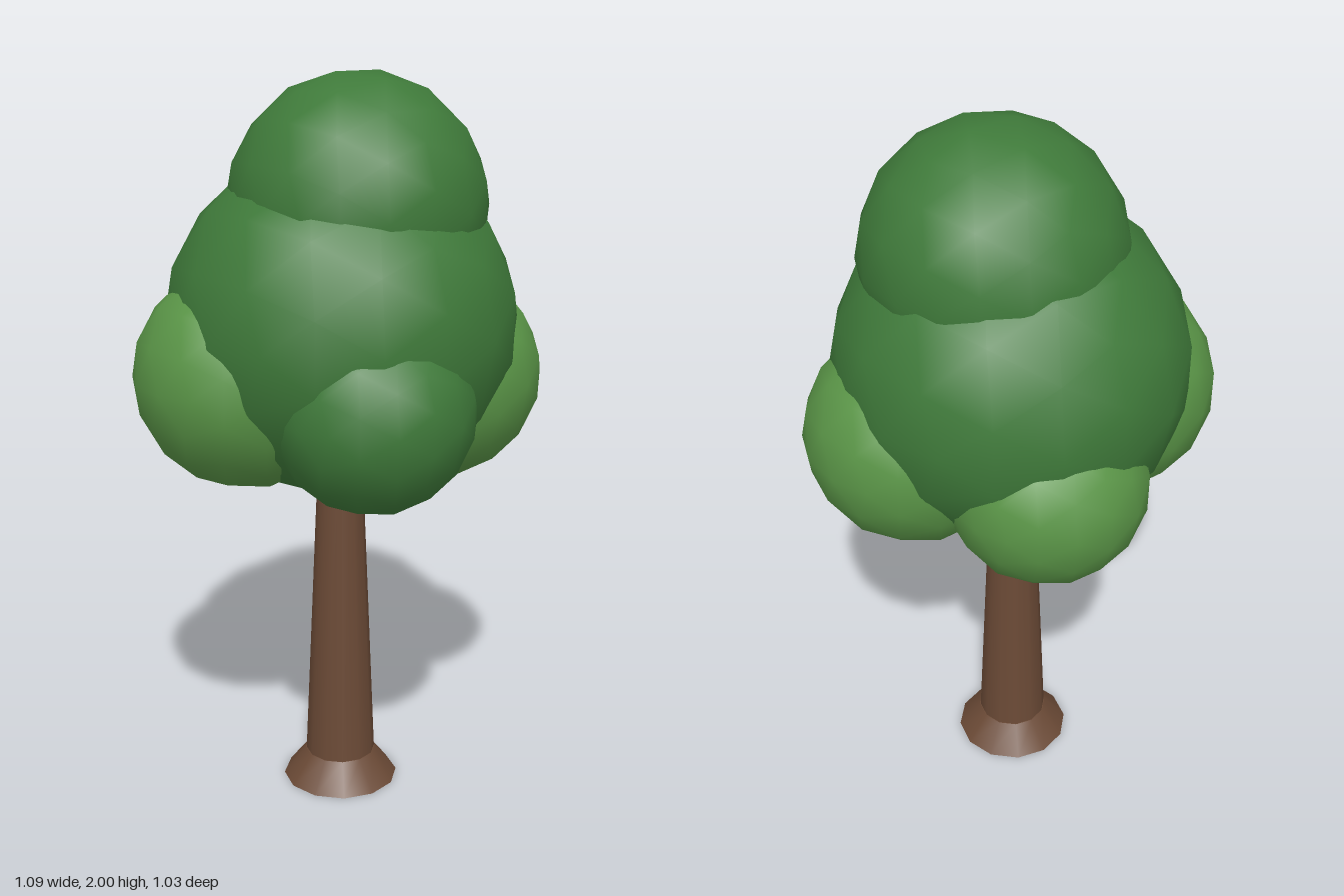
import * as THREE from 'three';

const bark = new THREE.MeshStandardMaterial({ color: 0x6b4a36 });
const darkLeaf = new THREE.MeshStandardMaterial({ color: 0x3f7a3a });
const lightLeaf = new THREE.MeshStandardMaterial({ color: 0x5a9547 });

export function createModel() {
  const tree = new THREE.Group();
  tree.name = 'tree';

  const add = (name, geometry, material, x, y, z) => {
    const mesh = new THREE.Mesh(geometry, material);
    mesh.name = name;
    mesh.position.set(x, y, z);
    tree.add(mesh);
  };

  // Tapered trunk rising into the crown, standing on a flared foot
  add('trunk', new THREE.CylinderGeometry(0.054, 0.1, 1.1, 12), bark, -0.004, 0.55 + 0.04, -0.005);
  add('rootFlare', new THREE.CylinderGeometry(0.1, 0.163, 0.08, 12), bark, -0.004, 0.04, -0.005);

  // Crown of overlapping leaf clumps: name, radius, centre, material
  const clumps = [
    ['crownMiddle', 0.472, [0, 1.35, -0.005], darkLeaf],
    ['crownTop', 0.345, [0.03, 1.66, 0.025], darkLeaf],
    ['leftClump', 0.295, [0.256, 1.19, 0.068], lightLeaf],
    ['rightClump', 0.302, [-0.254, 1.22, -0.075], lightLeaf],
    ['frontClump', 0.268, [-0.075, 1.168, 0.25], darkLeaf],
    ['backClump', 0.268, [0.072, 1.137, -0.252], lightLeaf],
  ];
  for (const [name, radius, [x, y, z], material] of clumps) {
    add(name, new THREE.IcosahedronGeometry(radius, 2), material, x, y, z);
  }

  return tree;
}
